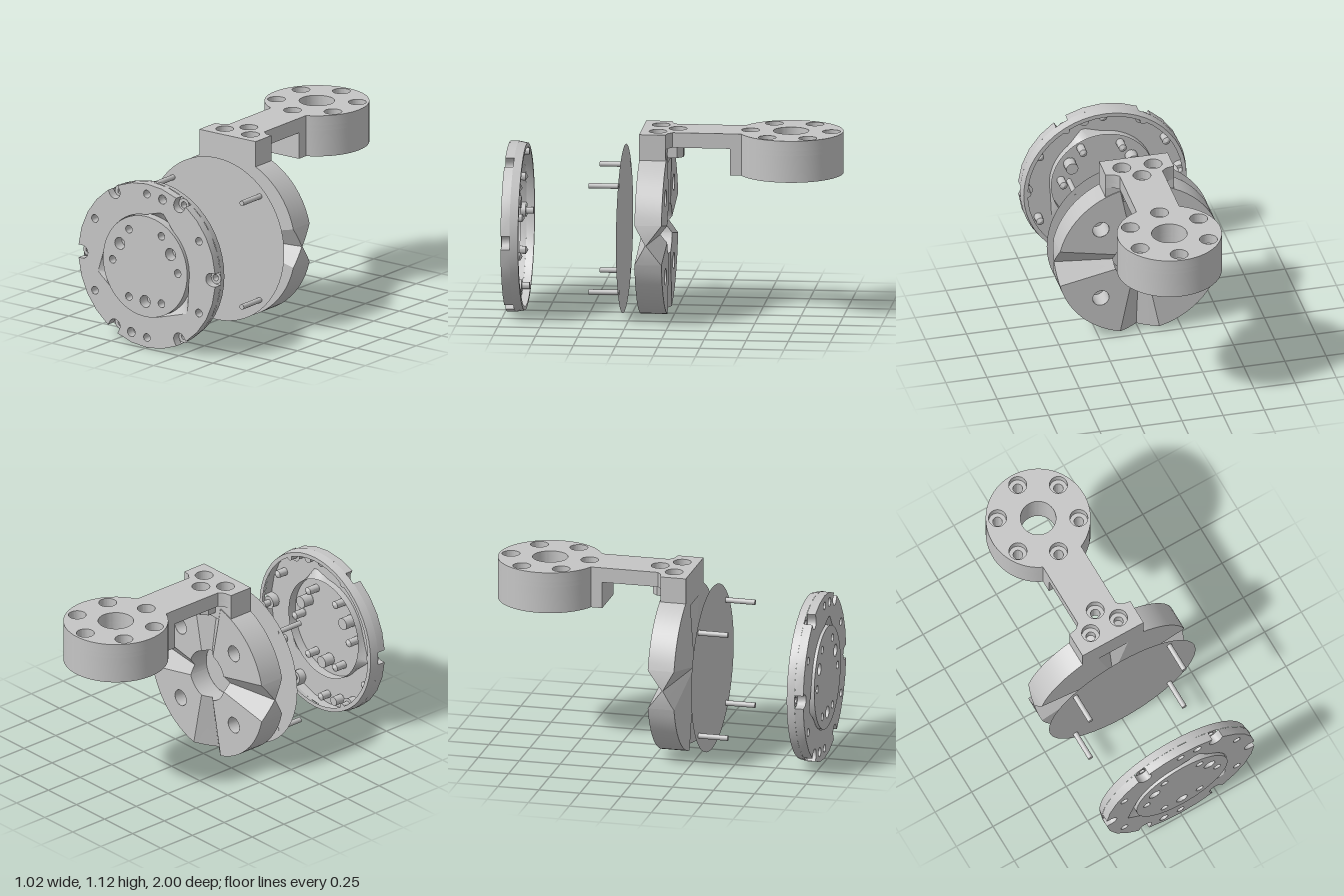
import * as THREE from 'three';
import { toCreasedNormals } from 'three/addons/utils/BufferGeometryUtils.js';

const PI = Math.PI;
const metal = new THREE.MeshStandardMaterial({ color: 0xc5c5c5, side: THREE.DoubleSide });
metal.name = 'light grey metal';

function add(parent, name, geo, x = 0, y = 0, z = 0) {
  const m = new THREE.Mesh(geo, metal);
  m.name = name;
  m.position.set(x, y, z);
  parent.add(m);
  return m;
}

// Skin between two rows of points
function strip(a, b) {
  const p = [];
  for (let i = 0; i < a.length - 1; i++) {
    p.push(...a[i], ...a[i + 1], ...b[i + 1], ...a[i], ...b[i + 1], ...b[i]);
  }
  const g = new THREE.BufferGeometry();
  g.setAttribute('position', new THREE.Float32BufferAttribute(p, 3));
  return toCreasedNormals(g, 0.5);
}

const polar = (r, a) => [r * Math.cos(a), r * Math.sin(a)];
const arc = (r, a0, a1, n) => Array.from({ length: n + 1 }, (_, i) => polar(r, a0 + (a1 - a0) * i / n));
const atZ = (pts, z) => pts.map(([x, y]) => [x, y, z]);
const toShape = (pts) => new THREE.Shape(pts.map(([x, y]) => new THREE.Vector2(x, y)));
const punch = (shape, holes) => {
  for (const [x, y, r] of holes) shape.holes.push(new THREE.Path().absarc(x, y, r, 0, 2 * PI, true));
  return shape;
};

// Blind drilled hole running back from z = 0
const drilled = (r, depth, tip) => toCreasedNormals(new THREE.LatheGeometry(
  [[r, 0], [r, -depth], [0.0001, -depth - tip]].map(([x, y]) => new THREE.Vector2(x, y)), 16).rotateX(PI / 2), 0.5);

// Flat slab between two heights, drawn in x and -z
function slab(shape, y0, y1) {
  const g = new THREE.ExtrudeGeometry(shape, { depth: y1 - y0, bevelEnabled: false, curveSegments: 32 });
  return toCreasedNormals(g.rotateX(-PI / 2).translate(0, y0, 0), 0.5);
}

// Hollow front flange with rim notches and raised hub
function frontFlange() {
  const g = new THREE.Group();
  g.name = 'frontFlange';
  const face = 0.983, mid = 0.93, R = 0.505;
  const outer = [];
  for (let k = 0; k < 6; k++) {
    const a = k * PI / 3;
    for (let i = 0; i <= 8; i++) {
      const f = -PI / 2 - PI * i / 8;
      const u = 0.475 + 0.04 * Math.cos(f), v = 0.04 * Math.sin(f);
      outer.push([u * Math.cos(a) - v * Math.sin(a), u * Math.sin(a) + v * Math.cos(a)]);
    }
    outer.push(...arc(R, a + 0.08, a + PI / 3 - 0.08, 4));
  }
  // Hub opening, pulled out to three corners
  const hub = arc(0.31, 0, 2 * PI, 72);
  const corners = [[0.115, 0.35, 0.9, 1.6], [-0.36, -0.1, 2.85, 3.8], [0.3, -0.24, 5.0, 6.1]];
  const opening = hub.map(([x, y], i) => {
    const a = i * PI / 36;
    for (const [cx, cy, a0, a1] of corners) {
      if (a <= a0 || a >= a1) continue;
      let ca = Math.atan2(cy, cx);
      if (ca < 0) ca += 2 * PI;
      const t = a < ca ? (a - a0) / (ca - a0) : (a1 - a) / (a1 - ca);
      const s = polar(0.314, a < ca ? a0 : a1);
      const q = [s[0] + (cx - s[0]) * t, s[1] + (cy - s[1]) * t];
      return Math.hypot(...q) > 0.314 ? q : polar(0.314, a);
    }
    return [x * 1.013, y * 1.013];
  });
  const ringHoles = [[0.115, 0.43, 0.028], [-0.115, -0.43, 0.028]], hubHoles = [];
  for (let k = 0; k < 6; k++) {
    ringHoles.push([...polar(0.443, PI / 6 + k * PI / 3), 0.024]);
    hubHoles.push([...polar(0.24, k * PI / 3), 0.024]);
  }
  for (let k = 0; k < 3; k++) hubHoles.push([...polar(0.216, PI / 6 + k * 2 * PI / 3), 0.037]);
  const ring = punch(toShape(outer), ringHoles);
  ring.holes.push(new THREE.Path(opening.slice(0, -1).reverse().map(([x, y]) => new THREE.Vector2(x, y))));
  add(g, 'flangeFace', new THREE.ShapeGeometry(ring, 16), 0, 0, face);
  add(g, 'hubFace', new THREE.ShapeGeometry(punch(toShape(hub.slice(0, -1)), hubHoles), 16), 0, 0, 1);
  add(g, 'hubWall', strip(atZ(hub, 1), atZ(hub, 0.945)));
  add(g, 'hubRecess', strip(atZ(opening, face), atZ(hub, 0.945)));
  const closed = [...outer, outer[0]];
  add(g, 'notchedRim', strip(atZ(closed, face), atZ(closed, mid)));
  add(g, 'rearRim', strip(atZ(arc(R, 0, 2 * PI, 48), mid), atZ(arc(0.495, 0, 2 * PI, 48), 0.88)));
  add(g, 'rearLip', new THREE.RingGeometry(0.47, 0.495, 48), 0, 0, 0.88);
  for (const [x, y, r] of ringHoles) add(g, 'ringHole', drilled(r, 0.06, r < 0.026 ? 0.015 : 0), x, y, face);
  for (const [x, y, r] of hubHoles) add(g, 'hubHole', drilled(r, 0.07, r < 0.026 ? 0.015 : 0), x, y, 1);
  for (let k = 0; k < 6; k++) {
    const [x, y] = polar(0.468, k * PI / 3);
    add(g, 'notchSeat', new THREE.RingGeometry(0.02, 0.04, 20), x, y, mid);
    add(g, 'notchHole', drilled(0.02, 0.045, 0), x, y, mid);
  }
  return g;
}

// Rear disc with four tapering V grooves around a central bore
function rearDisc() {
  const g = new THREE.Group();
  g.name = 'rearDisc';
  const R = 0.5, B = 0.155, back = 0.03, front = 0.19, floor = 0.16, wR = 0.24, wB = 0.33;
  const groove = (r, w, z, depth, s) => Array.from({ length: 5 }, (_, i) => {
    const t = i / 4;
    return [...polar(r, s * w * (1 - t)), z + depth * t];
  });
  for (let k = 0; k < 4; k++) {
    const q = new THREE.Group();
    q.name = 'discQuarter';
    q.rotation.z = k * PI / 2;
    const rim = arc(R, wR, PI / 2 - wR, 12), bore = arc(B, wB, PI / 2 - wB, 8);
    const hole = polar(0.335, PI / 4);
    add(q, 'backPanel', new THREE.ShapeGeometry(
      punch(toShape([...rim, ...bore.slice().reverse()]), [[...hole, 0.05]]), 16), 0, 0, back);
    add(q, 'boltHole', drilled(0.05, 0.12, 0), ...hole, back + 0.12).scale.z = -1;
    q.children.at(-1).position.z = back;
    add(q, 'frontPanel', new THREE.CircleGeometry(R, 12, wR, PI / 2 - 2 * wR), 0, 0, front);
    add(q, 'rimWall', strip(atZ(rim, back), atZ(rim, front)));
    add(q, 'boreWall', strip(atZ(bore, back), atZ(bore, floor)));
    for (const s of [-1, 1]) {
      const o = groove(R, wR, back, 0.09, s), n = groove(B, wB, back, 0.04, s);
      const f = groove(R, wR, front, -0.065, s);
      add(q, 'grooveFace', strip(o, n));
      add(q, 'grooveRim', strip(o, f));
      add(q, 'grooveBore', strip(n, n.map(([x, y]) => [x, y, floor])));
      add(q, 'frontGroove', strip(f, f.map(() => [0, 0, front])));
    }
    g.add(q);
  }
  add(g, 'boreFloor', new THREE.CircleGeometry(B, 40), 0, 0, floor);
  // Thin sheet carrying the pins
  add(g, 'pinSheet', new THREE.CircleGeometry(R, 64), 0, 0, 0.298);
  return g;
}

// Horizontal arm with round, drilled head
function arm() {
  const g = new THREE.Group();
  g.name = 'arm';
  const headArc = arc(0.31, -1.138, PI + 1.138, 56).map(([x, y]) => [x, y + 0.69]);
  const root = [[-0.13, 0], [-0.16, -0.025], [-0.208, -0.035], [-0.208, -0.19],
    [0.208, -0.19], [0.208, -0.035], [0.16, -0.025], [0.13, 0]];
  const headHoles = (r) => [[0, 0.69, 0.105],
    ...Array.from({ length: 6 }, (_, k) => {
      const [x, y] = polar(0.24, PI / 6 + k * PI / 3);
      return [x, y + 0.69, r];
    })];
  const rootHoles = (r) => [[0, 0.02, r], [-0.095, -0.09, r], [0.095, -0.09, r]];
  const plate = (r) => punch(toShape([...root, ...headArc]), [...headHoles(r), ...rootHoles(r)]);
  add(g, 'armTop', slab(plate(0.053), 1.06, 1.12));
  add(g, 'armBottom', slab(plate(0.028), 1.03, 1.06));
  add(g, 'head', slab(punch(toShape([[-0.13, 0.34], [0.13, 0.34], ...headArc]), headHoles(0.028)), 0.87, 1.03));
  add(g, 'mountBlock', slab(punch(toShape(root.slice(2, 6)), rootHoles(0.028).slice(1)), 0.92, 1.03));
  const boss = [[-0.07, -0.035], [0.07, -0.035], [0.07, 0.02], [0.035, 0.055], [-0.035, 0.055], [-0.07, 0.02]];
  add(g, 'underBoss', slab(punch(toShape(boss), [[0, 0.02, 0.028]]), 0.955, 1.03));
  return g;
}

export function createModel() {
  const model = new THREE.Group();
  model.name = 'flangedBracketAssembly';
  const flange = frontFlange(), disc = rearDisc();
  flange.position.y = disc.position.y = 0.51;
  model.add(flange, disc, arm());
  // Dowel pins standing on the sheet
  for (const x of [-0.32, 0.32]) for (const y of [0.19, 0.83]) {
    add(model, 'dowelPin', new THREE.CylinderGeometry(0.016, 0.016, 0.18, 16).rotateX(PI / 2), x, y, 0.387);
  }
  return model;
}
